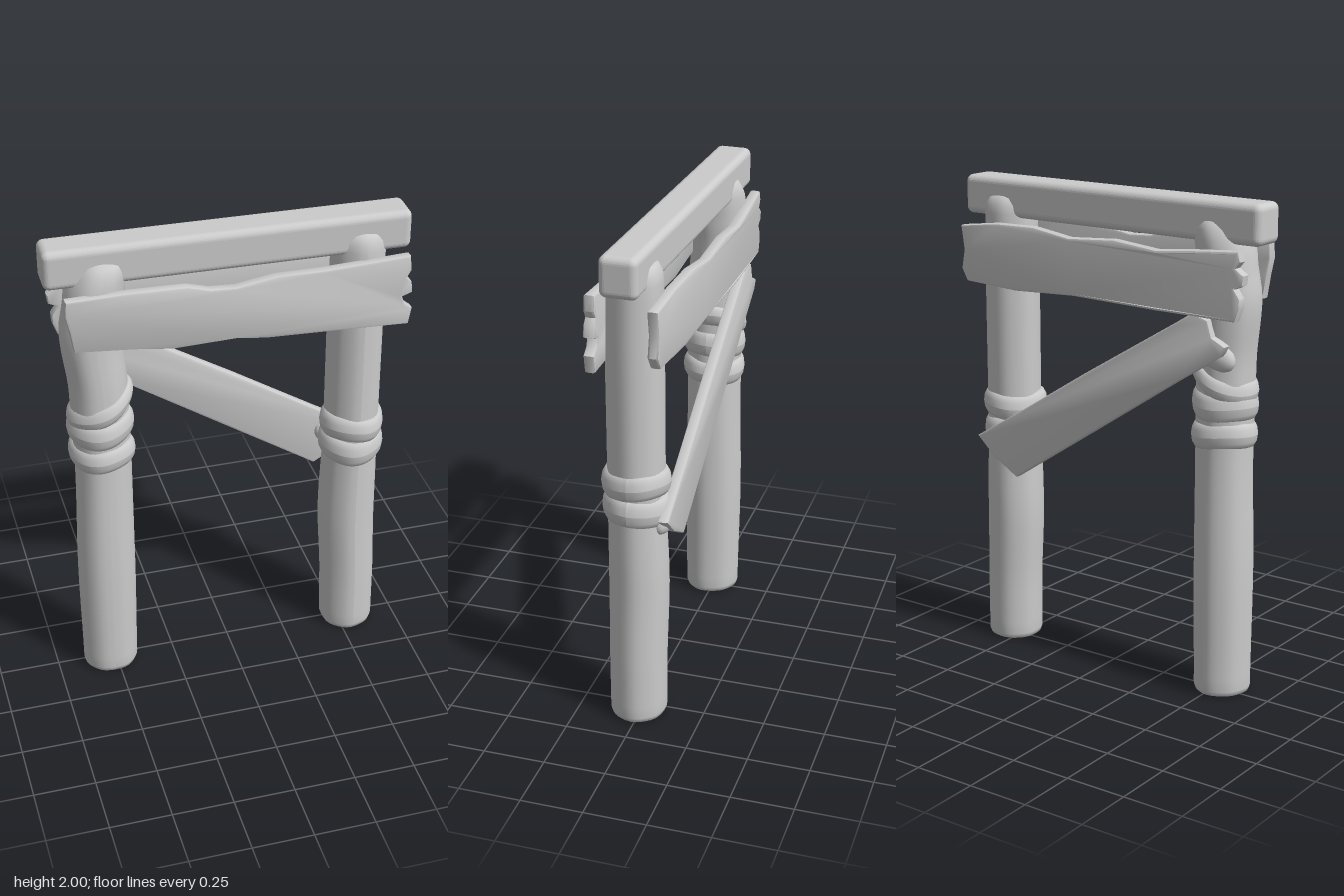
import * as THREE from 'three';
import { toCreasedNormals } from 'three/addons/utils/BufferGeometryUtils.js';
import { RoundedBoxGeometry } from 'three/addons/geometries/RoundedBoxGeometry.js';

const material = new THREE.MeshStandardMaterial({ color: 0xcccccc });

function addMesh(parent, name, geometry) {
  const mesh = new THREE.Mesh(geometry, material);
  mesh.name = name;
  parent.add(mesh);
  return mesh;
}

// Moves every vertex by a rule
function warp(geometry, rule) {
  const pos = geometry.attributes.position;
  const v = new THREE.Vector3();
  for (let i = 0; i < pos.count; i++) {
    v.fromBufferAttribute(pos, i);
    rule(v);
    pos.setXYZ(i, v.x, v.y, v.z);
  }
  geometry.computeVertexNormals();
  return geometry;
}

// Linear lookup in rows of [y, a, b, ...]
function sample(rows, y, column) {
  let i = 1;
  while (i < rows.length - 1 && rows[i][0] < y) i++;
  const t = THREE.MathUtils.clamp((y - rows[i - 1][0]) / (rows[i][0] - rows[i - 1][0]), 0, 1);
  return THREE.MathUtils.lerp(rows[i - 1][column], rows[i][column], THREE.MathUtils.smoothstep(t, 0, 1));
}

// Rough log: rows of [y, centre x, centre z, radius], rounded at both ends
function logGeometry(rows, phase) {
  const profile = [[0, 0], [0.095, 0], [0.108, 0.006], [0.114, 0.025]].map(p => new THREE.Vector2(...p));
  for (let i = 1; i <= 36; i++) {
    const y = 0.025 + (i / 36) * 1.83;
    profile.push(new THREE.Vector2(sample(rows, y, 3), y));
  }
  for (const p of [[0.103, 1.89], [0.088, 1.92], [0.06, 1.935], [0, 1.94]]) profile.push(new THREE.Vector2(...p));
  return warp(new THREE.LatheGeometry(profile, 32), v => {
    const a = Math.atan2(v.z, v.x);
    const k = 1 + 0.018 * Math.sin(3 * a + phase + v.y) + 0.012 * Math.sin(7 * a + phase);
    v.x = v.x * k + sample(rows, v.y, 1);
    v.z = v.z * k + sample(rows, v.y, 2);
  });
}

// Board cut from an outline in x and y, bent in z by a rule
function boardGeometry(outline, thickness, zAt) {
  const bevel = 0.01;
  const geometry = new THREE.ExtrudeGeometry(new THREE.Shape(outline.map(p => new THREE.Vector2(...p))), {
    depth: thickness - 2 * bevel, bevelEnabled: true, bevelThickness: bevel,
    bevelSize: bevel, bevelOffset: -bevel, bevelSegments: 2
  });
  geometry.translate(0, 0, bevel - thickness / 2);
  warp(geometry, v => { v.z += zAt(v.x, v.y); });
  return toCreasedNormals(geometry, 0.7);
}

// Rope turn around a post, slightly uneven
function addRope(parent, x, y, z, height, tilt, phase) {
  const geometry = new THREE.TorusGeometry(0.105, 0.028, 12, 40);
  geometry.rotateX(Math.PI / 2);
  geometry.scale(1, height / 0.056, 1);
  warp(geometry, v => {
    const a = Math.atan2(v.z, v.x);
    v.y += 0.007 * Math.sin(2 * a + phase) + tilt * v.x;
    const k = 1 + 0.018 * Math.sin(4 * a + phase);
    v.x *= k;
    v.z *= k;
  });
  addMesh(parent, 'ropeTurn', geometry).position.set(x, y, z);
}

export function createModel() {
  const model = new THREE.Group();
  model.name = 'timberFrame';

  // Posts
  addMesh(model, 'rightPost', logGeometry([
    [0, -0.525, 0.012, 0.114], [0.5, -0.525, 0.01, 0.119], [1.0, -0.52, 0.01, 0.114],
    [1.35, -0.525, 0.008, 0.116], [1.62, -0.545, 0, 0.121], [1.78, -0.525, 0, 0.118], [1.94, -0.49, 0, 0.108]
  ], 0));
  addMesh(model, 'leftPost', logGeometry([
    [0, 0.542, 0.013, 0.114], [0.2, 0.54, 0.013, 0.115], [0.6, 0.527, 0.01, 0.119],
    [1.0, 0.53, 0.015, 0.112], [1.5, 0.53, 0.015, 0.112], [1.94, 0.53, 0.012, 0.107]
  ], 2));

  // Top beam, turned very slightly about the upright axis
  const beam = addMesh(model, 'topBeam', warp(
    new RoundedBoxGeometry(1.44, 0.16, 0.15, 4, 0.028),
    v => { v.y *= 1 - 0.03 * Math.sin(v.x * 2 + 1.5) ** 2; }
  ));
  beam.position.set(0, 1.92, 0.001);
  beam.rotation.y = -0.023;

  // Front plank, splintered on the left end
  addMesh(model, 'frontPlank', boardGeometry([
    [-0.63, 1.61], [-0.4, 1.59], [-0.25, 1.57], [0, 1.578], [0.12, 1.562], [0.4, 1.552], [0.7, 1.54],
    [0.712, 1.61], [0.68, 1.635], [0.668, 1.665], [0.71, 1.68], [0.705, 1.725], [0.685, 1.75],
    [0.702, 1.78], [0.695, 1.84], [0.35, 1.825], [0.16, 1.825], [0, 1.8], [-0.1, 1.805],
    [-0.19, 1.83], [-0.42, 1.835], [-0.655, 1.83], [-0.66, 1.77], [-0.645, 1.7]
  ], 0.045, x => 0.122 + 0.014 * x));

  // Back plank, splintered on the right end
  addMesh(model, 'backPlank', boardGeometry([
    [-0.65, 1.56], [-0.3, 1.565], [0.1, 1.575], [0.4, 1.56], [0.66, 1.57], [0.69, 1.62], [0.675, 1.7],
    [0.69, 1.8], [0.5, 1.825], [0.3, 1.83], [0.12, 1.805], [-0.1, 1.82], [-0.3, 1.8],
    [-0.45, 1.815], [-0.66, 1.83], [-0.67, 1.79], [-0.65, 1.765], [-0.685, 1.74], [-0.68, 1.7],
    [-0.645, 1.685], [-0.67, 1.65], [-0.668, 1.61]
  ], 0.045, x => -0.132 + 0.012 * x + 0.04 * x * x));

  // Diagonal brace behind the posts
  addMesh(model, 'diagonalBrace', boardGeometry([
    [0.41, 0.765], [0.53, 0.835], [0.615, 0.915], [0.4, 1.045], [0.05, 1.265], [-0.38, 1.525],
    [-0.46, 1.575], [-0.53, 1.555], [-0.55, 1.49], [-0.61, 1.46], [-0.59, 1.42], [-0.4, 1.3], [0, 1.035]
  ], 0.045, x => -0.12 + 0.008 * x));

  // Rope bindings
  const ropes = new THREE.Group();
  ropes.name = 'ropeBindings';
  model.add(ropes);
  addRope(ropes, -0.52, 1.085, 0.01, 0.105, 0, 0);
  addRope(ropes, -0.522, 1.205, 0.01, 0.115, 0.06, 1);
  addRope(ropes, -0.52, 1.3, 0.008, 0.09, 0.4, 2);
  addRope(ropes, 0.528, 0.94, 0.016, 0.12, -0.03, 1);
  addRope(ropes, 0.528, 1.045, 0.016, 0.11, 0, 3);

  // Lashing lumps where the brace meets the posts
  for (const [x, y, tilt] of [[-0.53, 1.42, 0.5], [0.5, 0.9, -0.5]]) {
    const lump = addMesh(ropes, 'braceLashing', new THREE.SphereGeometry(1, 20, 12));
    lump.scale.set(0.1, 0.06, 0.045);
    lump.position.set(x, y, -0.09);
    lump.rotation.z = tilt;
  }
  return model;
}
